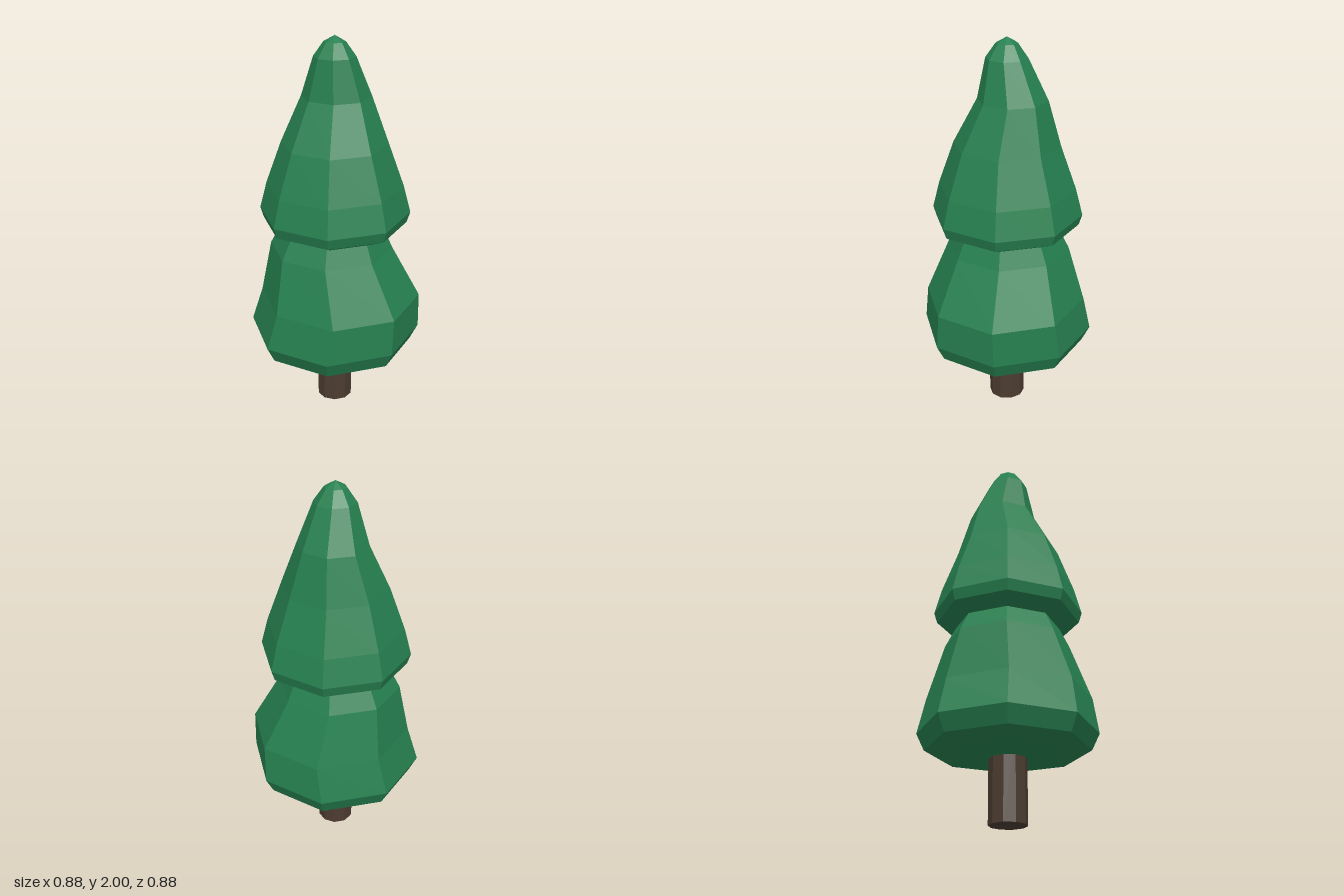
import * as THREE from 'three';

const SIDES = 8;
const TURN = THREE.MathUtils.degToRad(13);

// Eight-sided foliage body; each ring is [y, radius, shiftX, shiftZ]
function foliage(name, rings, material) {
  const points = rings.map(([y, r]) => new THREE.Vector2(r, y));
  const geometry = new THREE.LatheGeometry(points, SIDES, TURN);
  const pos = geometry.attributes.position;
  for (let i = 0; i < pos.count; i++) {
    const [, , dx = 0, dz = 0] = rings[i % rings.length];
    pos.setX(i, pos.getX(i) + dx);
    pos.setZ(i, pos.getZ(i) + dz);
  }
  geometry.computeVertexNormals();
  const mesh = new THREE.Mesh(geometry, material);
  mesh.name = name;
  return mesh;
}

export function createModel() {
  const green = new THREE.MeshStandardMaterial({ color: 0x268050, flatShading: true });
  const brown = new THREE.MeshStandardMaterial({ color: 0x4c3c30, flatShading: true });
  const tree = new THREE.Group();
  tree.name = 'pineTree';

  // Ten-sided trunk, reaching into the lower foliage
  const trunk = new THREE.Mesh(new THREE.CylinderGeometry(0.095, 0.095, 0.4, 10), brown);
  trunk.name = 'trunk';
  trunk.rotation.y = Math.PI / 2;
  trunk.position.y = 0.2;
  tree.add(trunk);

  // Wide lower tier with slightly wobbling rings
  tree.add(foliage('lowerFoliage', [
    [0.32, 0],
    [0.32, 0.14],
    [0.333, 0.28],
    [0.365, 0.41],
    [0.45, 0.451],
    [0.64, 0.42, 0.03, 0],
    [0.91, 0.318, -0.02, 0],
    [1.01, 0.27, -0.015, 0],
    [1.08, 0.15],
    [1.1, 0],
  ], green));

  // Tall upper tier with a bent, rounded tip
  tree.add(foliage('upperFoliage', [
    [1.01, 0],
    [1.01, 0.28],
    [1.055, 0.37],
    [1.11, 0.387],
    [1.25, 0.35],
    [1.47, 0.27],
    [1.7, 0.175, 0, -0.03],
    [1.9, 0.104],
    [1.97, 0.054],
    [2, 0],
  ], green));

  return tree;
}
